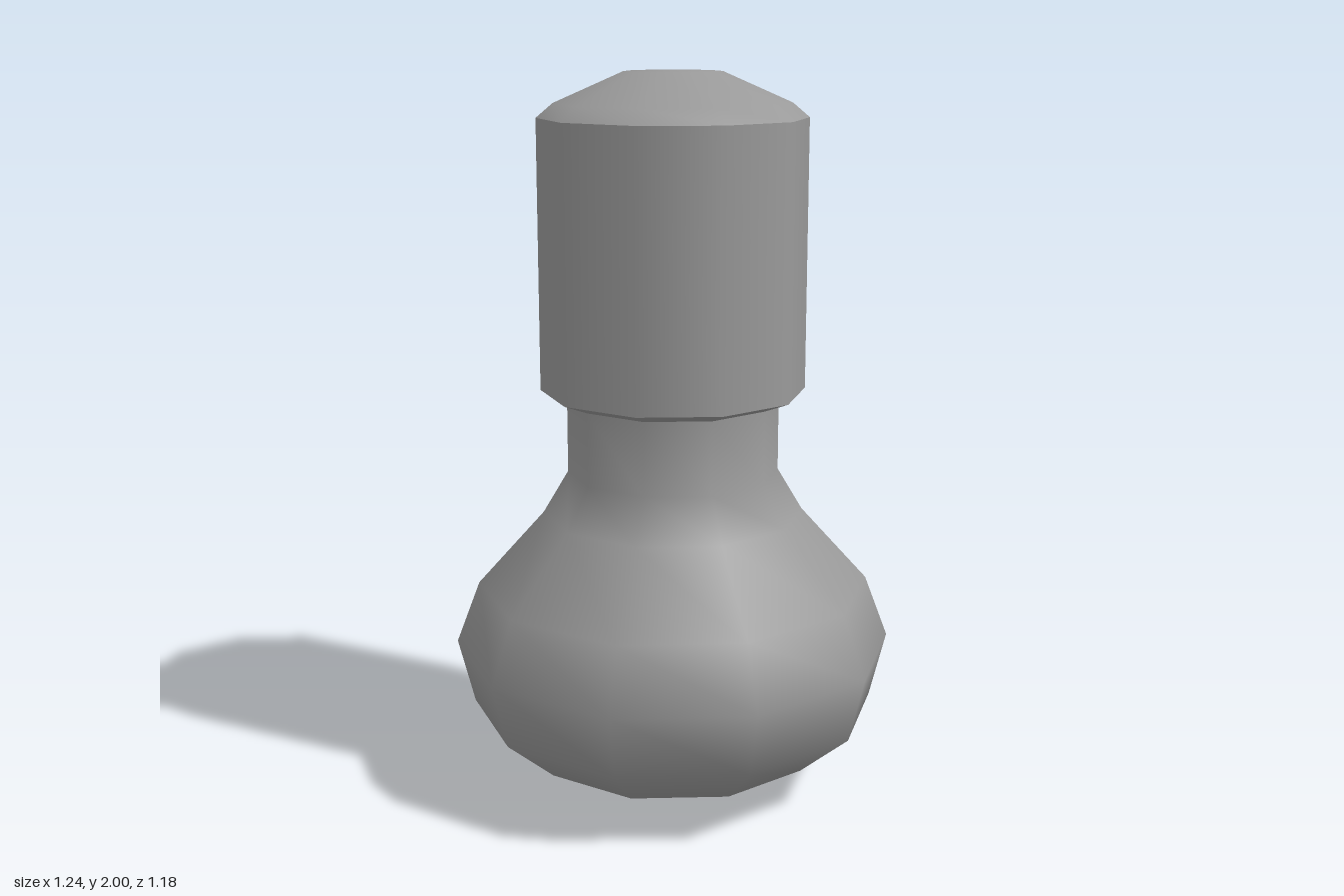
import * as THREE from 'three';

const SIDES = 10;

export function createModel() {
  const group = new THREE.Group();
  const material = new THREE.MeshStandardMaterial({ color: 0x9a9a9a });

  // Ten-sided turned part with a corner on +x; profile is [radius, height], bottom to top
  function turned(name, profile) {
    const points = profile.map(([r, y]) => new THREE.Vector2(r, y));
    const geometry = new THREE.LatheGeometry(points, SIDES, Math.PI / 2);
    geometry.normalizeNormals();

    // Point the normals straight up or down at closed ends
    const normals = geometry.attributes.normal;
    for (let i = 0; i < normals.count; i++) {
      const row = i % profile.length;
      if (profile[row][0] === 0) normals.setXYZ(i, 0, row === 0 ? -1 : 1, 0);
    }

    const mesh = new THREE.Mesh(geometry, material);
    mesh.name = name;
    group.add(mesh);
  }

  // Rounded bulb flowing into the narrow neck
  turned('bulbAndNeck', [
    [0, 0], [0.195, 0.01], [0.425, 0.092], [0.572, 0.218], [0.618, 0.4],
    [0.552, 0.575], [0.365, 0.782], [0.295, 0.9], [0.295, 1.105],
  ]);

  // Cap: separate surfaces keep its rims sharp
  turned('capUnderside', [[0.295, 1.105], [0.368, 1.133]]);
  turned('capSide', [[0.368, 1.133], [0.368, 1.876]]);
  turned('capDome', [[0.368, 1.876], [0.322, 1.915], [0.133, 1.998], [0, 2]]);

  return group;
}
